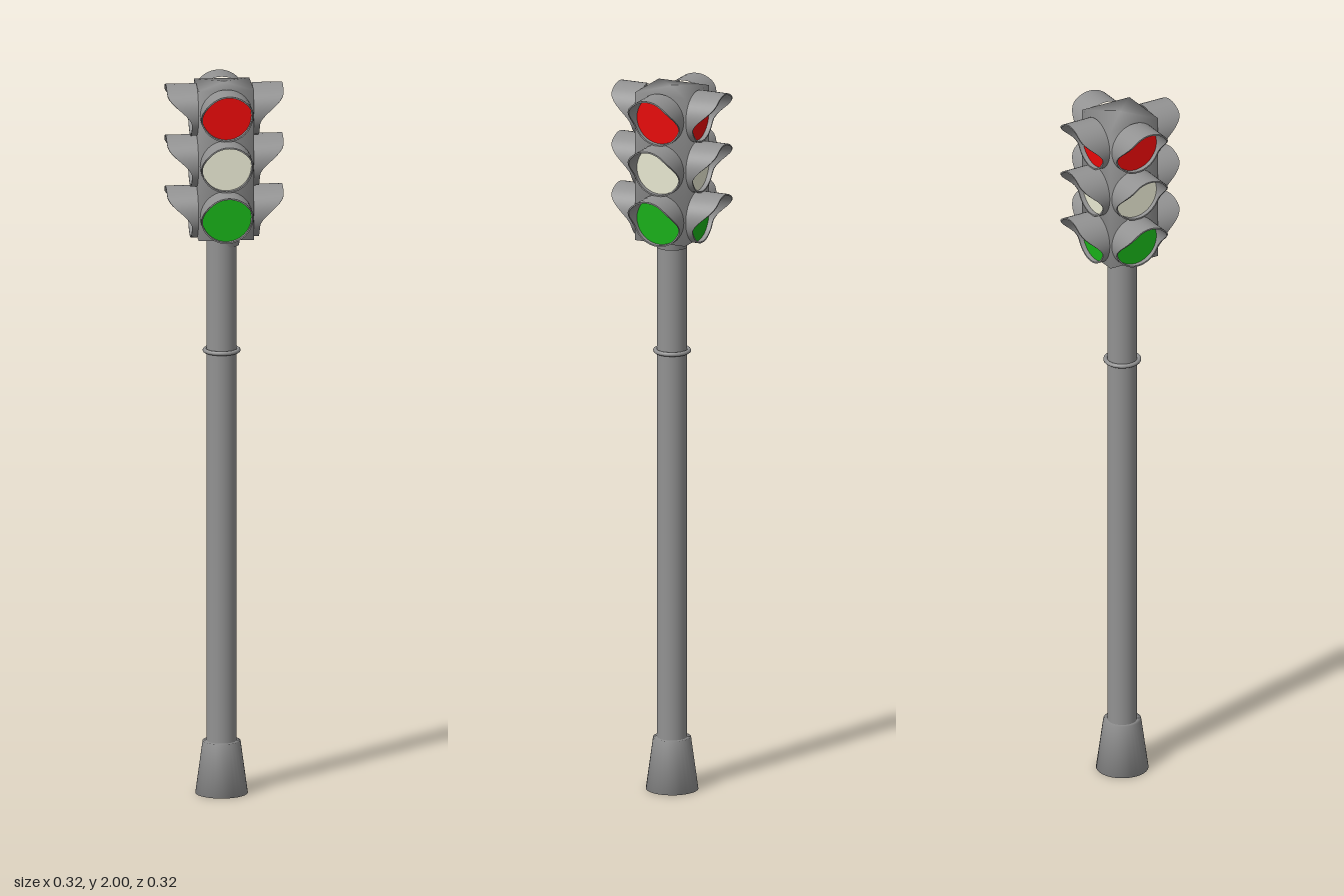
import * as THREE from 'three';

const darkGrey = new THREE.MeshStandardMaterial({ color: 0x929292 });
const HALF = 0.076;      // half width of the signal housing
const HOOD_R = 0.072;
const LENS_R = 0.068;
const LAMPS = [
  { name: 'red', y: 1.922, color: 0xe80808 },
  { name: 'cream', y: 1.779, color: 0xe8e8d2 },
  { name: 'green', y: 1.636, color: 0x18b018 },
];

function add(parent, name, geometry, material, x = 0, y = 0, z = 0) {
  const mesh = new THREE.Mesh(geometry, material);
  mesh.name = name;
  mesh.position.set(x, y, z);
  parent.add(mesh);
  return mesh;
}

// Turned part from [radius, height] pairs, listed so that the outside faces out
function turned(pairs, segments = 32, start = 0) {
  return new THREE.LatheGeometry(pairs.map(([r, y]) => new THREE.Vector2(r, y)), segments, start);
}

// Thin-walled tube along +z, its far end cut back in a sweep from crown to lower rim
function hoodGeometry() {
  // repeated points keep the lip's edges sharp
  const geo = turned([[HOOD_R, 0], [HOOD_R, 1], [HOOD_R, 1], [LENS_R, 1], [LENS_R, 1], [LENS_R, 0]], 40);
  geo.rotateX(Math.PI / 2);
  const p = geo.attributes.position;
  for (let i = 0; i < p.count; i++) {
    const rise = (p.getY(i) / Math.hypot(p.getX(i), p.getY(i)) + 1) / 2;
    const reach = 0.093 + 0.067 * THREE.MathUtils.smoothstep(rise, 0.28, 0.9);
    p.setZ(i, THREE.MathUtils.lerp(HALF, reach, p.getZ(i)));
  }
  geo.computeVertexNormals();
  return geo;
}

export function createModel() {
  const model = new THREE.Group();
  model.name = 'trafficLight';

  // Post, standing slightly off the housing's axis
  const post = new THREE.Group();
  post.name = 'post';
  post.position.set(-0.007, 0, 0.003);
  model.add(post);
  add(post, 'base', turned([[0, 0], [0.072, 0], [0.052, 0.147], [0.04, 0.147]]), darkGrey);
  add(post, 'pole', new THREE.CylinderGeometry(0.041, 0.041, 1.45, 32), darkGrey, 0, 0.845);
  const collar = new THREE.TorusGeometry(0.046, 0.006, 10, 32);
  collar.rotateX(Math.PI / 2);
  add(post, 'collar', collar, darkGrey, 0, 1.245);

  // Signal housing: square body with a shallow pyramid roof, softly shaded, on a tapered neck
  const head = new THREE.Group();
  head.name = 'signalHead';
  model.add(head);
  add(head, 'neck', new THREE.CylinderGeometry(0.047, 0.041, 0.03, 32), darkGrey, 0, 1.556);
  const corner = HALF * Math.SQRT2;
  const housing = turned([[0, 1.57], [corner, 1.57], [corner, 1.99], [0, 2]], 4, Math.PI / 4);
  add(head, 'housing', housing, darkGrey);

  // Three hooded lamps on each of the four sides
  const hood = hoodGeometry();
  const lens = new THREE.CircleGeometry(LENS_R, 40);
  const lensMaterials = LAMPS.map(({ color }) => new THREE.MeshStandardMaterial({ color }));
  for (let side = 0; side < 4; side++) {
    const face = new THREE.Group();
    face.name = ['front', 'left', 'back', 'right'][side] + 'Signals';
    face.rotation.y = side * Math.PI / 2;
    head.add(face);
    LAMPS.forEach(({ name, y }, i) => {
      add(face, name + 'Hood', hood, darkGrey, 0, y);
      add(face, name + 'Lens', lens, lensMaterials[i], 0, y, 0.08);
    });
  }
  return model;
}
